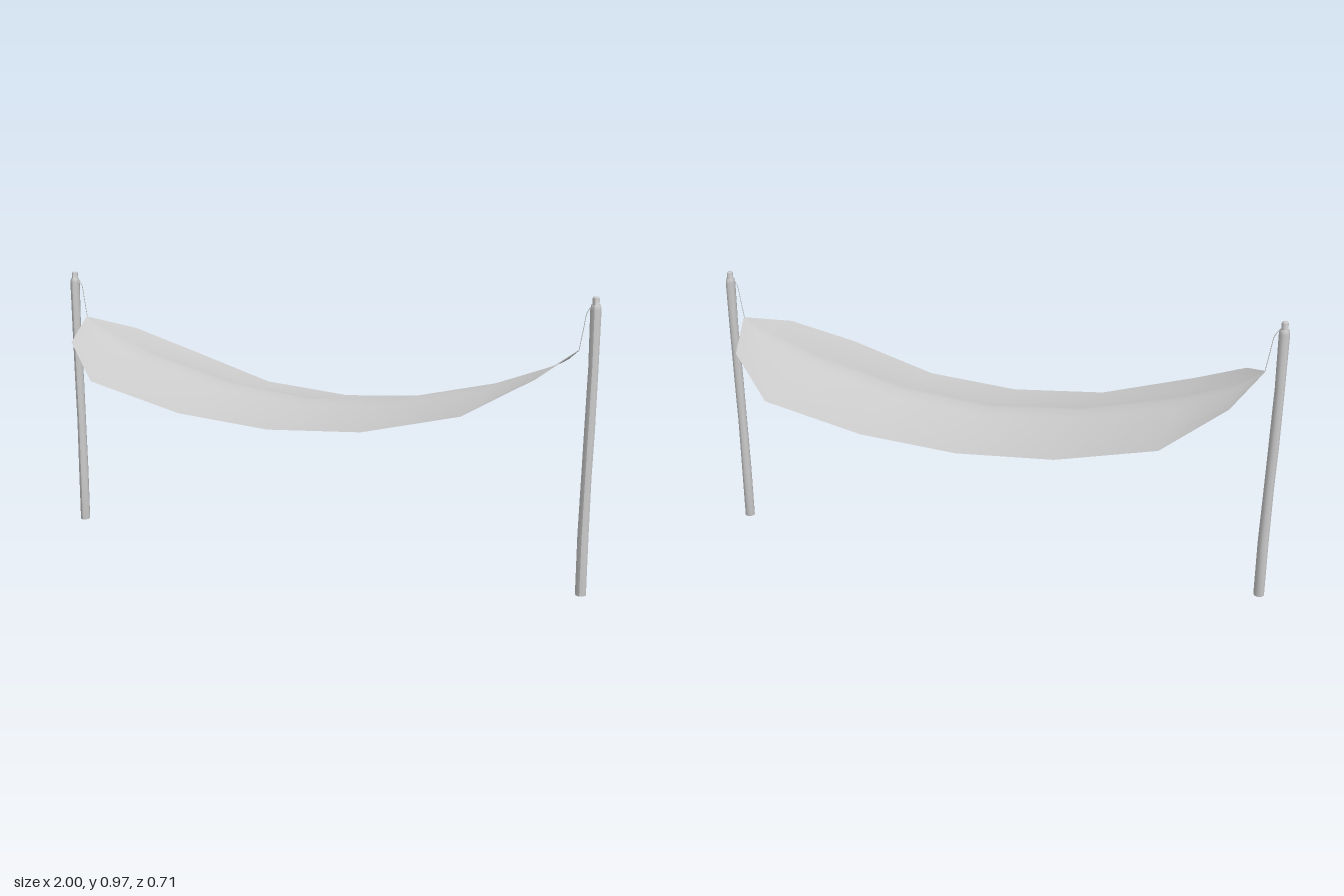
import * as THREE from 'three';

const material = new THREE.MeshStandardMaterial({ color: 0xcccccc });
const clothMaterial = new THREE.MeshStandardMaterial({ color: 0xcccccc, side: THREE.DoubleSide });

// Half of the cloth, tip to middle: [x, half width, height at centre line, height at edge]
const half = [
  [0.935, 0.006, 0.803, 0.801],
  [0.855, 0.21, 0.745, 0.737],
  [0.67, 0.355, 0.675, 0.633],
  [0.335, 0.328, 0.596, 0.546],
];
const sections = [
  ...half.map(([x, ...rest]) => [-x, ...rest]),
  [0, 0.323, 0.564, 0.521],
  ...half.slice().reverse(),
];

// Position across the width (fraction) and how far the cloth has sagged there
const across = [[-1, 1], [-0.58, 0.86], [-0.16, 0.2], [0, 0], [0.16, 0.2], [0.58, 0.86], [1, 1]];

function createCloth() {
  const positions = [], index = [], n = across.length;
  sections.forEach(([x, w, yMid, yEdge], i) => {
    across.forEach(([t, sag], j) => {
      positions.push(x, yMid + (yEdge - yMid) * sag, t * w);
      if (i > 0 && j > 0) {
        const d = i * n + j, c = d - 1, b = d - n, a = b - 1;
        index.push(a, b, d, a, d, c);
      }
    });
  });
  const geometry = new THREE.BufferGeometry();
  geometry.setAttribute('position', new THREE.Float32BufferAttribute(positions, 3));
  geometry.setIndex(index);
  geometry.computeVertexNormals();
  const cloth = new THREE.Mesh(geometry, clothMaterial);
  cloth.name = 'hammockCloth';
  return cloth;
}

// Slightly crooked wooden post with a small peg on top
function createPost(name, x, phase) {
  const profile = [
    [0, 0], [0.018, 0], [0.018, 0.2], [0.0165, 0.4], [0.017, 0.55], [0.016, 0.75],
    [0.0175, 0.93], [0.015, 0.945], [0.011, 0.945], [0.011, 0.965], [0.008, 0.97], [0, 0.97],
  ].map(([r, y]) => new THREE.Vector2(r, y));
  const geometry = new THREE.LatheGeometry(profile, 8);
  const p = geometry.attributes.position;
  for (let i = 0; i < p.count; i++) {
    const y = p.getY(i);
    p.setX(i, p.getX(i) + 0.003 * Math.sin(y * 6 + phase));
    p.setZ(i, p.getZ(i) + 0.002 * Math.sin(y * 8 + phase));
  }
  geometry.computeVertexNormals();
  const post = new THREE.Mesh(geometry, material);
  post.name = name;
  post.position.x = x;
  return post;
}

// Thin cord from the cloth tip up to the post
function createCord(name, side) {
  const curve = new THREE.CatmullRomCurve3([
    new THREE.Vector3(side * 0.934, 0.802, 0),
    new THREE.Vector3(side * 0.944, 0.865, 0),
    new THREE.Vector3(side * 0.955, 0.925, 0),
    new THREE.Vector3(side * 0.97, 0.944, 0),
  ]);
  const cord = new THREE.Mesh(new THREE.TubeGeometry(curve, 10, 0.0012, 5), material);
  cord.name = name;
  return cord;
}

export function createModel() {
  const model = new THREE.Group();
  model.name = 'hammock';
  model.add(
    createCloth(),
    createPost('leftPost', 0.978, 3.5),
    createPost('rightPost', -0.982, 0.4),
    createCord('leftCord', 1),
    createCord('rightCord', -1),
  );
  return model;
}
